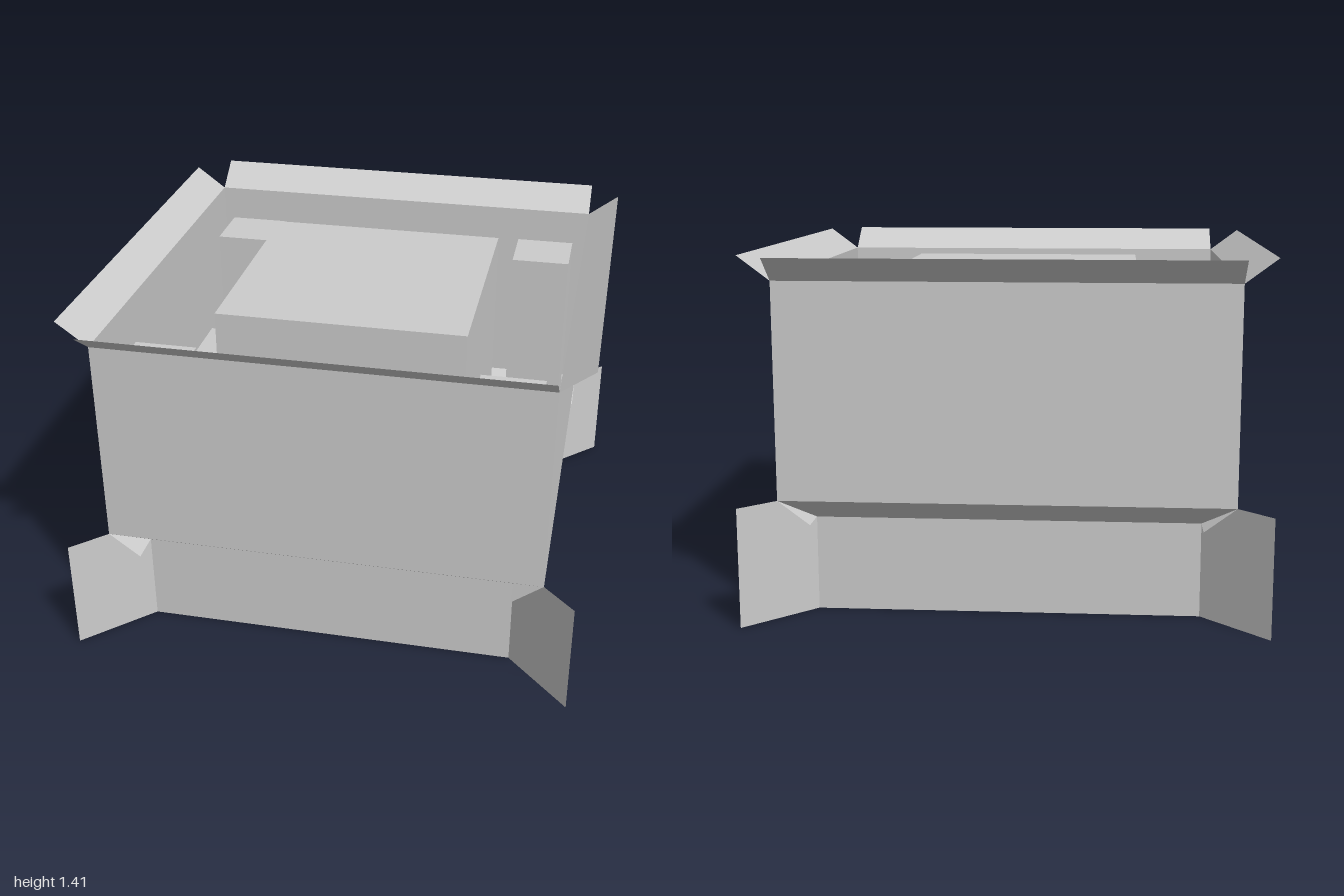
import * as THREE from 'three';

const grey = new THREE.MeshStandardMaterial({ color: 0xcccccc, side: THREE.DoubleSide });
grey.name = 'plain grey';

function box(name, w, d, y0, y1, x = 0, z = 0) {
  const mesh = new THREE.Mesh(new THREE.BoxGeometry(w, y1 - y0, d), grey);
  mesh.name = name;
  mesh.position.set(x, (y0 + y1) / 2, z);
  return mesh;
}

// Flat panel of constant width, spanning from (y0, z0) up to (y1, z1), facing +z
function panel(name, width, y0, z0, y1, z1) {
  const geometry = new THREE.PlaneGeometry(width, Math.hypot(y1 - y0, z1 - z0));
  geometry.rotateX(Math.atan2(z1 - z0, y1 - y0));
  const mesh = new THREE.Mesh(geometry, grey);
  mesh.name = name;
  mesh.position.set(0, (y0 + y1) / 2, (z0 + z1) / 2);
  return mesh;
}

// Upright fin running diagonally outward from a lower corner
function cornerFin() {
  const inner = 0.75 * Math.SQRT2, outer = Math.SQRT2;
  const geometry = new THREE.PlaneGeometry(outer - inner, 0.46875);
  geometry.translate((inner + outer) / 2, 0.46875 / 2, 0);
  const mesh = new THREE.Mesh(geometry, grey);
  mesh.name = 'cornerFin';
  mesh.rotation.y = -Math.PI / 4;
  return mesh;
}

export function createModel() {
  const model = new THREE.Group();
  model.name = 'openContainer';

  // Closed base and the tall block in the middle
  model.add(box('base', 1.5, 1.5, 0, 0.375));
  model.add(box('centreBlock', 1, 1, 0.375, 1.3125));

  // Each side repeats by quarter turns
  for (let i = 0; i < 4; i++) {
    const side = new THREE.Group();
    side.name = 'side' + (i + 1);
    side.rotation.y = i * Math.PI / 2;
    side.add(panel('lowerFlare', 1.75, 0.375, 0.75, 0.46875, 0.875));
    side.add(panel('wall', 1.75, 0.46875, 0.875, 1.3125, 0.875));
    side.add(panel('rimFlap', 1.75, 1.3125, 0.875, 1.40625, 1));
    side.add(cornerFin());
    side.add(box('cornerPost', 0.25, 0.25, 0.45, 1.1875, 0.6875, 0.6875));
    side.add(box('shortPost', 0.25, 0.25, 0.45, 0.8, -0.25, 0.6875));
    model.add(side);
  }
  return model;
}
